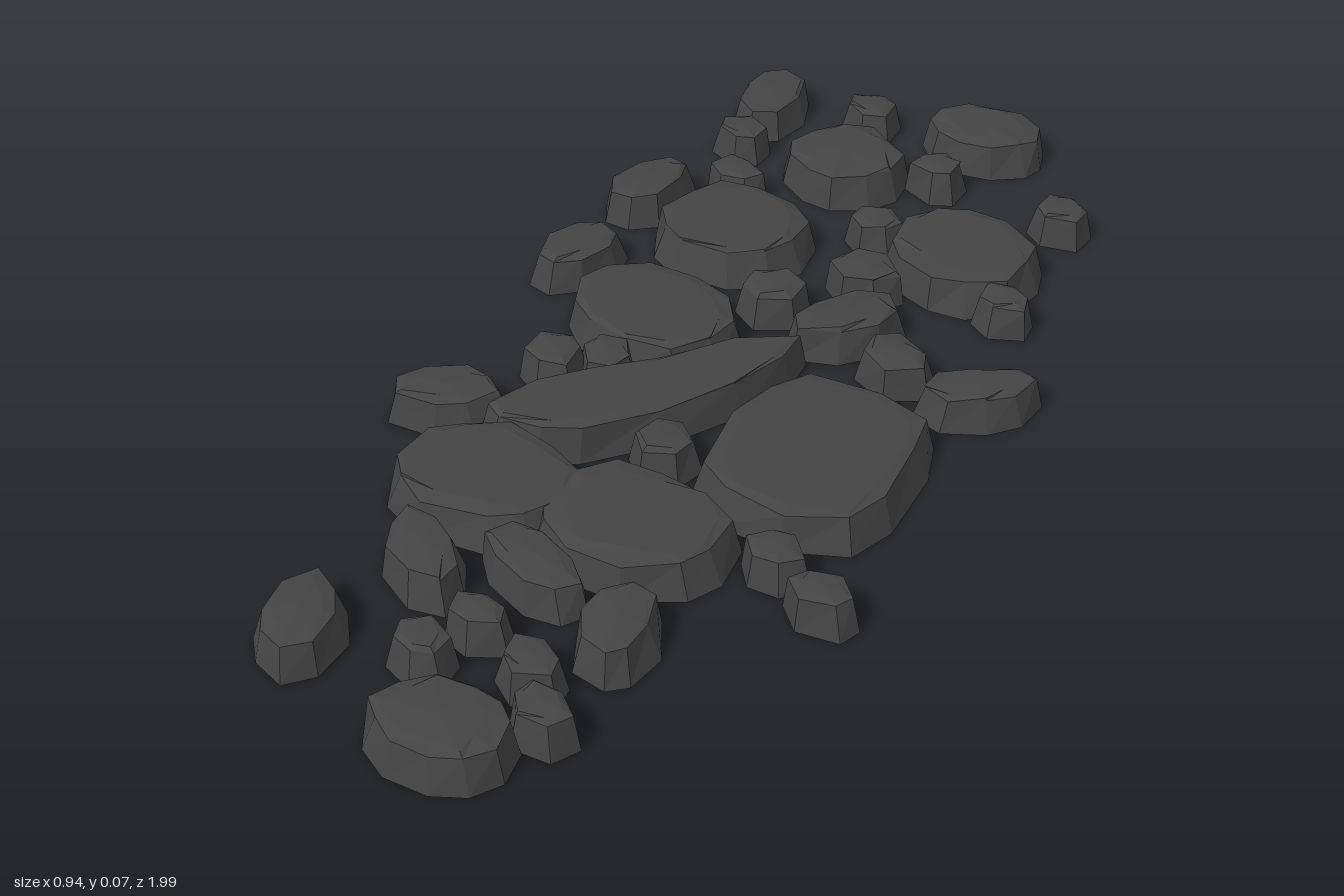
import * as THREE from 'three';

// small seeded generator for chipped, uneven edges
let seed = 7;
const rand = () => {
  seed = (seed * 16807) % 2147483647;
  return seed / 2147483647;
};
const vary = (amount) => 1 + (rand() * 2 - 1) * amount;

// rounded outline with n corners; angle in degrees turns from +x towards +z
function outline(cx, cz, a, b, angle, n, power = 2, rough = 0.05) {
  const turn = THREE.MathUtils.degToRad(angle);
  const shift = rand() * 0.6;
  return Array.from({ length: n }, (_, i) => {
    const t = ((i + shift + (rand() - 0.5) * 0.3) / n) * Math.PI * 2;
    const c = Math.cos(t), s = Math.sin(t), k = vary(rough) * 1.02;
    const u = a * k * Math.sign(c) * Math.abs(c) ** (2 / power);
    const v = b * k * Math.sign(s) * Math.abs(s) ** (2 / power);
    return [cx + u * Math.cos(turn) - v * Math.sin(turn), cz + u * Math.sin(turn) + v * Math.cos(turn)];
  });
}

// stone shell: sloping walls, a chipped rim and a faintly domed top, open underneath
function stone(points, inset, height) {
  const n = points.length;
  const cx = points.reduce((sum, p) => sum + p[0], 0) / n;
  const cz = points.reduce((sum, p) => sum + p[1], 0) / n;
  const ring = (y, depth, roughY) => points.map(([x, z]) => {
    const r = Math.hypot(x - cx, z - cz);
    const k = 1 - Math.min(depth * vary(0.45) / r, 0.5);
    return [cx + (x - cx) * k, y * vary(roughY), cz + (z - cz) * k];
  });
  const rings = [ring(0, 0, 0), ring(height * 0.9, inset, 0.04), ring(height * 0.97, inset * 2.1, 0.015)];
  const peak = [cx, height, cz];
  const positions = [];
  for (let i = 0; i < n; i++) {
    const j = (i + 1) % n;
    for (let r = 0; r < 2; r++) {
      const low = rings[r], high = rings[r + 1];
      positions.push(...low[i], ...high[i], ...low[j], ...low[j], ...high[i], ...high[j]);
    }
    positions.push(...peak, ...rings[2][j], ...rings[2][i]);
  }
  const geometry = new THREE.BufferGeometry();
  geometry.setAttribute('position', new THREE.Float32BufferAttribute(positions, 3));
  geometry.computeVertexNormals();
  return geometry;
}

// each row: centre x, centre z, half length, half width, angle, optional squareness
const largeStones = [
  [0.07, -0.91, 0.115, 0.092, 0],
  [-0.12, -0.705, 0.117, 0.11, 0],
  [-0.195, -0.405, 0.14, 0.128, 0, 2.4],
  [0.2, -0.515, 0.138, 0.128, 20, 2.3],
  [-0.19, -0.11, 0.167, 0.122, 12],
  [0.228, 0.117, 0.165, 0.183, 0, 3],
  [-0.2, 0.405, 0.155, 0.125, 0, 2.3],
  [0.06, 0.395, 0.162, 0.125, 0, 2.3],
  [0.04, 0.905, 0.115, 0.09, 0],
];
const mediumStones = [
  [-0.342, -0.84, 0.1, 0.066, 85],
  [-0.395, -0.455, 0.1, 0.066, -75],
  [-0.4, -0.215, 0.097, 0.066, -70],
  [0.11, -0.24, 0.107, 0.066, -50],
  [0.385, -0.155, 0.105, 0.062, -40],
  [-0.37, 0.25, 0.1, 0.066, -22],
  [-0.185, 0.6, 0.104, 0.06, 40],
  [-0.02, 0.55, 0.107, 0.06, 22],
  [0.157, 0.61, 0.095, 0.066, 75],
  [-0.26, 0.81, 0.1, 0.068, 65],
];
// each row: centre x, centre z, half length, half width
const smallStones = [
  [-0.152, -0.888, 0.063, 0.05],
  [-0.335, -0.7, 0.06, 0.05],
  [0.045, -0.745, 0.06, 0.05],
  [0.3, -0.71, 0.062, 0.05],
  [-0.27, -0.56, 0.06, 0.048],
  [0.025, -0.53, 0.06, 0.048],
  [0.075, -0.38, 0.07, 0.06],
  [0.32, -0.405, 0.058, 0.05],
  [-0.04, -0.255, 0.062, 0.062],
  [0.23, -0.17, 0.07, 0.058],
  [-0.27, 0.08, 0.062, 0.055],
  [-0.19, 0.045, 0.057, 0.055],
  [0.005, 0.205, 0.062, 0.058],
  [0.28, 0.36, 0.06, 0.05],
  [0.385, 0.415, 0.062, 0.05],
  [-0.035, 0.685, 0.06, 0.046],
  [-0.072, 0.775, 0.06, 0.05],
  [0.087, 0.737, 0.06, 0.05],
  [0.155, 0.815, 0.062, 0.052],
];
// long leaning sliver between the large stones
const sliver = [
  [0.08, -0.145], [0.085, -0.08], [0.055, 0.03], [-0.02, 0.16], [-0.115, 0.265], [-0.18, 0.295],
  [-0.26, 0.3], [-0.295, 0.275], [-0.26, 0.185], [-0.2, 0.105], [-0.105, 0.015], [-0.01, -0.095],
];

export function createModel() {
  seed = 7;
  const model = new THREE.Group();
  model.name = 'steppingStonePath';
  const rock = new THREE.MeshStandardMaterial({ color: 0x444444, side: THREE.DoubleSide });
  rock.name = 'dark grey rock';

  const addStones = (name, outlines, inset, height) => {
    const group = new THREE.Group();
    group.name = name + 's';
    outlines.forEach((points, i) => {
      const mesh = new THREE.Mesh(stone(points, inset, height * vary(0.03)), rock);
      mesh.name = name + (i + 1);
      group.add(mesh);
    });
    model.add(group);
  };

  addStones('largeStone', largeStones.map(([x, z, a, b, t, p]) => outline(x, z, a, b, t, 11, p, 0.03)), 0.018, 0.066);
  addStones('sliverStone', [sliver], 0.014, 0.067);
  addStones('mediumStone', mediumStones.map(([x, z, a, b, t]) => outline(x, z, a, b, t, 8)), 0.015, 0.064);
  addStones('smallStone', smallStones.map(([x, z, a, b]) => outline(x, z, a, b, 20, 6)), 0.012, 0.064);
  return model;
}
